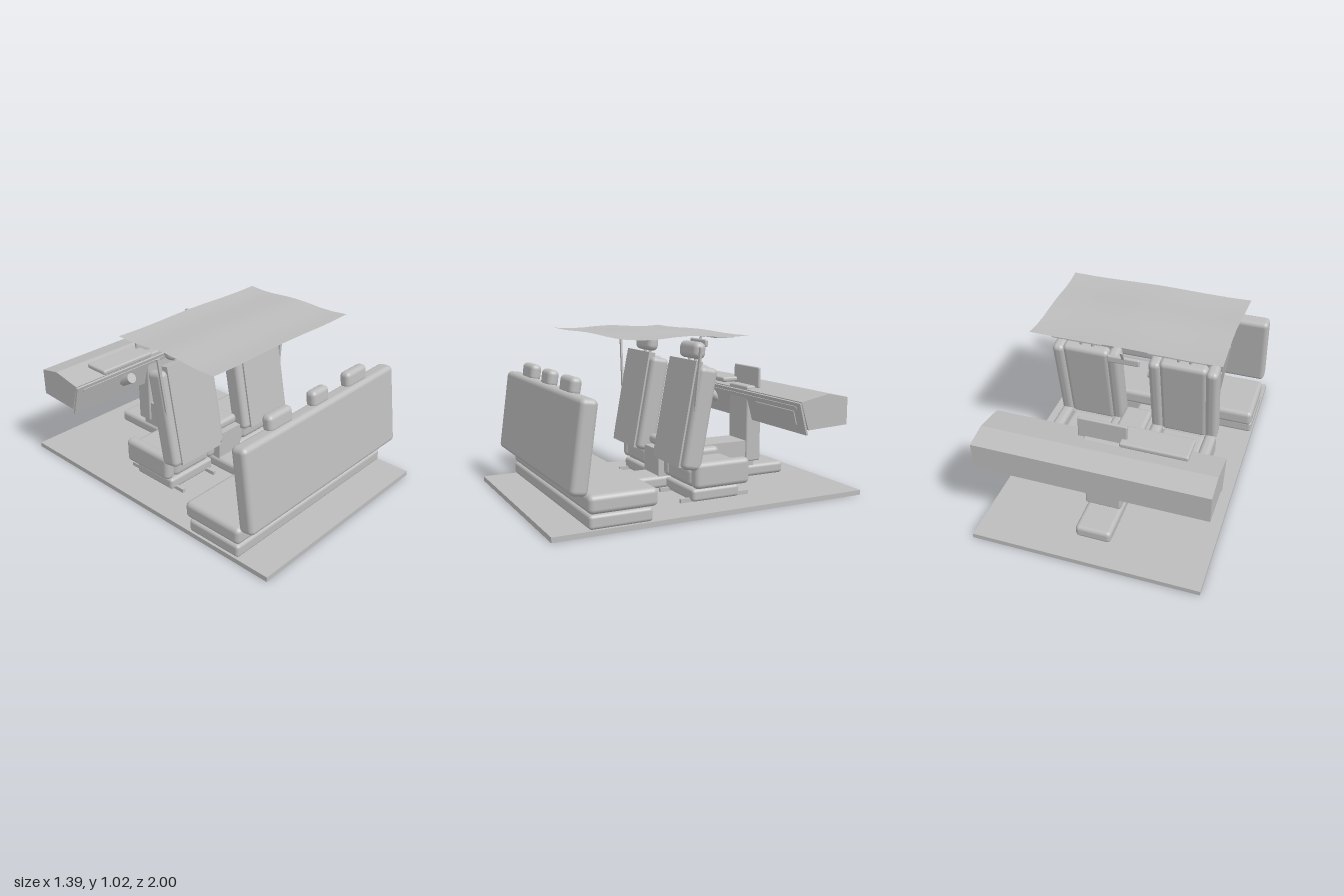
import * as THREE from 'three';
import { RoundedBoxGeometry } from 'three/addons/geometries/RoundedBoxGeometry.js';

const grey = new THREE.MeshStandardMaterial({ color: 0xbcbcbc });
grey.name = 'plain grey';
const greySheet = new THREE.MeshStandardMaterial({ color: 0xbcbcbc, side: THREE.DoubleSide });
greySheet.name = 'plain grey sheet';

function add(parent, name, geometry, pos = [0, 0, 0], tilt = 0, material = grey) {
  const mesh = new THREE.Mesh(geometry, material);
  mesh.name = name;
  mesh.position.set(...pos);
  mesh.rotation.x = tilt;
  parent.add(mesh);
  return mesh;
}
const soft = (w, h, d, r = 0.025) => new RoundedBoxGeometry(w, h, d, 4, r);
const box = (w, h, d) => new THREE.BoxGeometry(w, h, d);

// Bar between two points
function bar(parent, name, a, b, w, d) {
  const p = new THREE.Vector3(...a), q = new THREE.Vector3(...b);
  const mesh = add(parent, name, box(w, p.distanceTo(q), d));
  mesh.position.copy(p).add(q).multiplyScalar(0.5);
  mesh.quaternion.setFromUnitVectors(new THREE.Vector3(0, 1, 0), q.sub(p).normalize());
}

function rearBench() {
  const g = new THREE.Group();
  g.name = 'rearBench';
  add(g, 'benchBase', soft(1.38, 0.08, 0.37, 0.02), [0, 0.07, 0.605]);
  add(g, 'benchCushion', soft(1.38, 0.105, 0.405, 0.03), [0, 0.162, 0.588]);
  add(g, 'benchBack', soft(1.38, 0.51, 0.1, 0.03), [0, 0.468, 0.806], -0.14);
  for (const [x, w] of [[-0.35, 0.195], [0, 0.145], [0.35, 0.195]])
    add(g, 'rearHeadrest', soft(w, 0.1, 0.068, 0.028), [x, 0.752, 0.757], -0.14);
  add(g, 'foldingArmrest', soft(0.2, 0.05, 0.24, 0.022), [0, 0.253, 0.672], -0.13);
  return g;
}

function frontSeat(x) {
  const g = new THREE.Group();
  g.name = 'frontSeat';
  g.position.x = x;
  add(g, 'seatBase', soft(0.36, 0.075, 0.315, 0.02), [0, 0.073, -0.088]);
  add(g, 'seatCushion', soft(0.3, 0.12, 0.38, 0.035), [0, 0.175, -0.118]);
  for (const s of [-1, 1]) {
    add(g, 'seatRail', box(0.02, 0.025, 0.46), [s * 0.135, 0.042, -0.1]);
    add(g, 'cushionBolster', soft(0.075, 0.158, 0.37, 0.03), [s * 0.178, 0.195, -0.115]);
  }
  // Leaning backrest
  const back = new THREE.Group();
  back.name = 'backrest';
  back.position.set(0, 0.535, 0.042);
  back.rotation.x = -0.185;
  g.add(back);
  add(back, 'backPad', soft(0.3, 0.6, 0.08, 0.03), [0, 0.005, -0.018]);
  add(back, 'backPanel', box(0.33, 0.62, 0.045), [0, 0.01, 0.04]);
  for (const s of [-1, 1]) {
    add(back, 'backBolster', soft(0.075, 0.6, 0.12, 0.03), [s * 0.178, -0.005, -0.008]);
    add(back, 'headrestPost', new THREE.CylinderGeometry(0.011, 0.011, 0.12, 12), [s * 0.037, 0.34, -0.005]);
  }
  add(g, 'frontHeadrest', soft(0.215, 0.1, 0.08, 0.035), [0, 0.91, -0.02], -0.1);
  return g;
}

function dashboard() {
  const g = new THREE.Group();
  g.name = 'dashboard';
  // Side profile drawn with depth pointing forward, then swept across the cabin
  const profile = [[0.535, 0.613], [0.73, 0.65], [0.872, 0.622], [0.872, 0.455], [0.59, 0.442]];
  const shape = new THREE.Shape(profile.map(([z, y]) => new THREE.Vector2(z, y)));
  const body = new THREE.ExtrudeGeometry(shape, { depth: 1.39, bevelEnabled: false });
  body.rotateY(Math.PI / 2).translate(-0.695, 0, 0);
  add(g, 'dashBody', body);
  add(g, 'dashFascia', box(1.39, 0.2, 0.012), [0, 0.51, -0.555], 0.27);
  add(g, 'gloveBox', box(0.4, 0.085, 0.012), [0.42, 0.51, -0.549], 0.27);
  add(g, 'trimStrip', box(1.3, 0.018, 0.012), [0, 0.575, -0.532], 0.27);
  add(g, 'instrumentHood', soft(0.4, 0.032, 0.168, 0.012), [-0.31, 0.655, -0.572]);
  add(g, 'screen', soft(0.295, 0.135, 0.02, 0.008), [0, 0.69, -0.605]);
  add(g, 'steeringColumn', new THREE.CylinderGeometry(0.033, 0.033, 0.1, 24), [-0.31, 0.535, -0.512], 1.05);
  return g;
}

function centreConsole() {
  const g = new THREE.Group();
  g.name = 'centreConsole';
  add(g, 'floorTunnel', soft(0.22, 0.08, 1.25, 0.025), [0, 0.07, -0.205]);
  add(g, 'consoleBox', box(0.2, 0.17, 0.7), [0, 0.19, -0.248]);
  add(g, 'centreStack', soft(0.22, 0.5, 0.11, 0.012), [0, 0.385, -0.59]);
  add(g, 'consoleArmrest', soft(0.18, 0.062, 0.26, 0.025), [0, 0.313, -0.05]);
  return g;
}

// Gently waved ceiling sheet
function headliner() {
  const geo = new THREE.PlaneGeometry(1.16, 0.755, 8, 8).rotateX(-Math.PI / 2).translate(0, 0, 0.1425);
  const p = geo.attributes.position;
  for (let i = 0; i < p.count; i++) {
    const x = p.getX(i), z = p.getZ(i);
    const u = Math.abs(x) / 0.58, v = (z - 0.1425) / 0.3775;
    const wave = 0.007 * Math.cos(v * 4.6) + 0.004 * Math.cos(u * 4.5);
    p.setXYZ(i, x * (0.99 + 0.02 * v * v + 0.007 * v), 1.006 + wave, z);
  }
  geo.computeVertexNormals();
  return geo;
}

export function createModel() {
  const model = new THREE.Group();
  model.name = 'carInterior';
  add(model, 'floor', box(1.39, 0.03, 2), [0, 0.015, 0]);
  model.add(rearBench(), frontSeat(-0.31), frontSeat(0.31), dashboard(), centreConsole());
  add(model, 'headliner', headliner(), [0, 0, 0], 0, greySheet);

  // Visors and seat belts on both sides
  for (const s of [-1, 1]) {
    add(model, 'sunVisor', box(0.31, 0.008, 0.115), [s * 0.295, 0.988, -0.162]);
    bar(model, 'seatBelt', [s * 0.493, 0.45, 0.075], [s * 0.557, 0.945, 0.062], 0.018, 0.012);
  }

  // Rear-view mirror on its stem
  add(model, 'mirror', soft(0.2, 0.046, 0.024, 0.01), [0, 0.924, -0.237]);
  bar(model, 'mirrorStem', [0, 0.935, -0.242], [0, 0.998, -0.272], 0.015, 0.012);
  return model;
}
